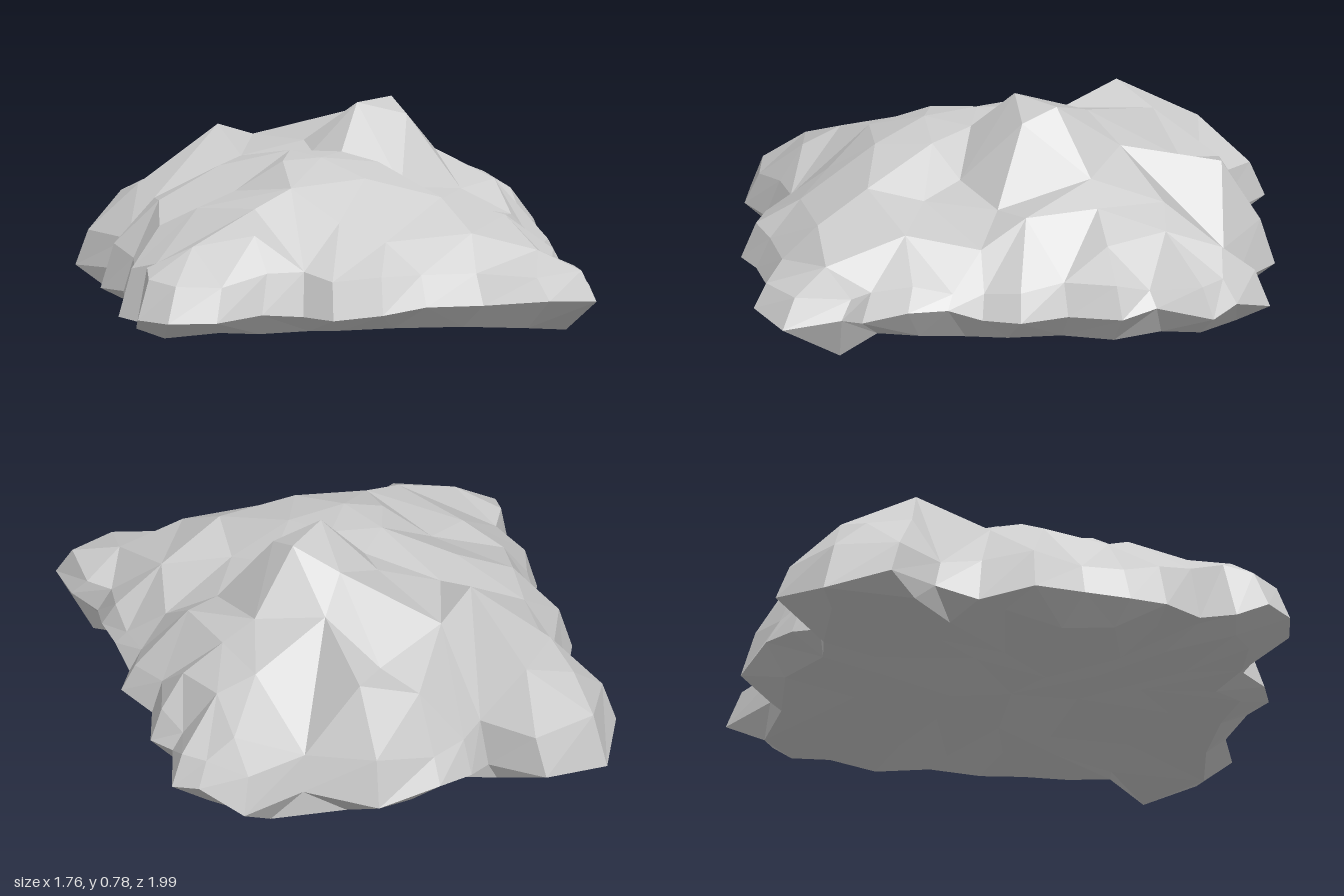
import * as THREE from 'three';

// Footprint of the mound as x, z pairs, starting at the back right corner
const OUTLINE = [
  -.88, -.62, -.78, -.86, -.51, -.99, -.34, -.79, -.25, -.88, -.11, -.95, .14, -1, .39, -.84,
  .65, -.96, .79, -.83, .87, -.74, .81, -.53, .86, -.4, .8, -.2, .87, -.02, .8, .12, .82, .25,
  .83, .4, .8, .57, .88, .65, .88, .87, .69, .97, .45, .9, .23, .94, .06, .99, -.12, .94,
  -.22, .84, -.38, .88, -.56, .95, -.74, .92, -.84, .82, -.83, .7, -.78, .57, -.86, .43,
  -.82, .3, -.8, .13, -.86, -.07, -.78, -.27, -.75, -.43,
];
const COUNT = OUTLINE.length / 2;

// Peaks and saddles of the top: x, y, z
const PEAKS = [
  [.1, .79, -.03], [.25, .79, -.18], [.1, .72, -.3], [.29, .74, -.05], [-.08, .63, -.18],
  [-.22, .6, -.56], [.04, .5, -.65], [.19, .61, -.42], [.5, .5, -.57], [.56, .5, -.32],
  [.43, .57, -.3], [.16, .53, -.8], [-.07, .46, -.8], [-.37, .66, -.43], [-.31, .57, -.22],
  [-.66, .43, -.5], [-.5, .46, -.74], [-.64, .42, -.2], [-.65, .44, 0], [-.42, .56, -.04],
  [-.07, .61, -.02], [-.17, .635, .1], [.02, .63, .13], [.24, .5, .18], [-.39, .5, .2],
  [-.55, .46, .34], [-.22, .62, .27], [-.08, .635, .3], [.14, .61, .28], [-.22, .55, .5],
  [.06, .58, .49], [-.06, .44, .66], [-.37, .49, .6], [.34, .51, .53], [.43, .4, .72],
  [.35, .46, .32], [.6, .42, .4], [.48, .47, .05], [.62, .49, -.05], [.66, .38, .12],
  [.72, .41, -.35], [.65, .44, -.57], [.64, .37, -.78], [-.62, .37, .72], [-.39, .41, .74],
  [.1, .38, .77], [.68, .33, .7], [-.68, .38, .24], [-.7, .38, -.68],
];

let seed = 7;
function jitter(amount) {
  seed = (seed * 16807) % 2147483647;
  return (seed / 2147483647 * 2 - 1) * amount;
}

// Closed ring following the footprint
function ring(n, scale, height, wobble) {
  return Array.from({ length: n }, (_, k) => {
    const f = k / n * COUNT + 1e-6;
    const i = Math.floor(f) % COUNT, j = (i + 1) % COUNT, t = f - Math.floor(f);
    const [x, z] = [0, 1].map(c =>
      scale * (OUTLINE[2 * i + c] * (1 - t) + OUTLINE[2 * j + c] * t) + jitter(wobble));
    return new THREE.Vector3(x, Math.max(.003, height + jitter(.03)), z);
  });
}

// Triangles between two rings that may have different point counts
function stitch(inner, outer, out) {
  const n = inner.length, m = outer.length;
  let i = 0, j = 0;
  while (i < n || j < m) {
    const a = inner[i % n], b = outer[j % m];
    const stepOuter = i >= n || (j < m && (j + 1) / m <= (i + 1) / n);
    out.push(a, stepOuter ? outer[++j % m] : inner[++i % n], b);
  }
}

function isInside(x, z, polygon) {
  return polygon.reduce((inside, p, i) => {
    const q = polygon[(i + 1) % polygon.length];
    const crosses = (p.z > z) !== (q.z > z) && x < p.x + (z - p.z) / (q.z - p.z) * (q.x - p.x);
    return crosses ? !inside : inside;
  }, false);
}

// Joins points into facets: three points whose circle, seen from above, holds no other point
function facet(points, border, out) {
  const n = points.length;
  for (let i = 0; i < n; i++) for (let j = i + 1; j < n; j++) for (let k = j + 1; k < n; k++) {
    const a = points[i], b = points[j], c = points[k];
    const bx = b.x - a.x, bz = b.z - a.z, cx = c.x - a.x, cz = c.z - a.z;
    const turn = bz * cx - bx * cz;
    if (Math.abs(turn) < 1e-6) continue;
    const bb = bx * bx + bz * bz, cc = cx * cx + cz * cz;
    const ux = (bz * cc - cz * bb) / (2 * turn), uz = (cx * bb - bx * cc) / (2 * turn);
    const limit = ux * ux + uz * uz - 1e-9;
    if (points.some(p => p !== a && p !== b && p !== c &&
      (p.x - a.x - ux) ** 2 + (p.z - a.z - uz) ** 2 < limit)) continue;
    if (!isInside((a.x + b.x + c.x) / 3, (a.z + b.z + c.z) / 3, border)) continue;
    out.push(a, ...(turn > 0 ? [b, c] : [c, b]));
  }
}

export function createModel() {
  const corners = [];

  // Faceted top inside the shoulder
  const shoulder = ring(COUNT, .945, .26, .006);
  facet([...PEAKS.map(p => new THREE.Vector3(...p)), ...shoulder], shoulder, corners);

  // Rim, slightly higher on the left, and the uneven underside
  const rim = ring(COUNT, 1, .13, 0);
  rim.forEach(p => { p.y += .05 * p.x; });
  const rings = [shoulder, rim, ring(30, .87, .045, .03), ring(18, .6, .04, .04),
    ring(8, .28, .035, .03), ring(1, 0, .04, 0)];
  for (let k = 0; k + 1 < rings.length; k++) stitch(rings[k], rings[k + 1], corners);

  const geometry = new THREE.BufferGeometry().setFromPoints(corners);
  geometry.computeVertexNormals();
  const mound = new THREE.Mesh(geometry,
    new THREE.MeshStandardMaterial({ color: 0xcccccc, flatShading: true }));
  mound.name = 'lumpyMound';
  const group = new THREE.Group();
  group.name = 'lowPolyMound';
  group.add(mound);
  return group;
}
